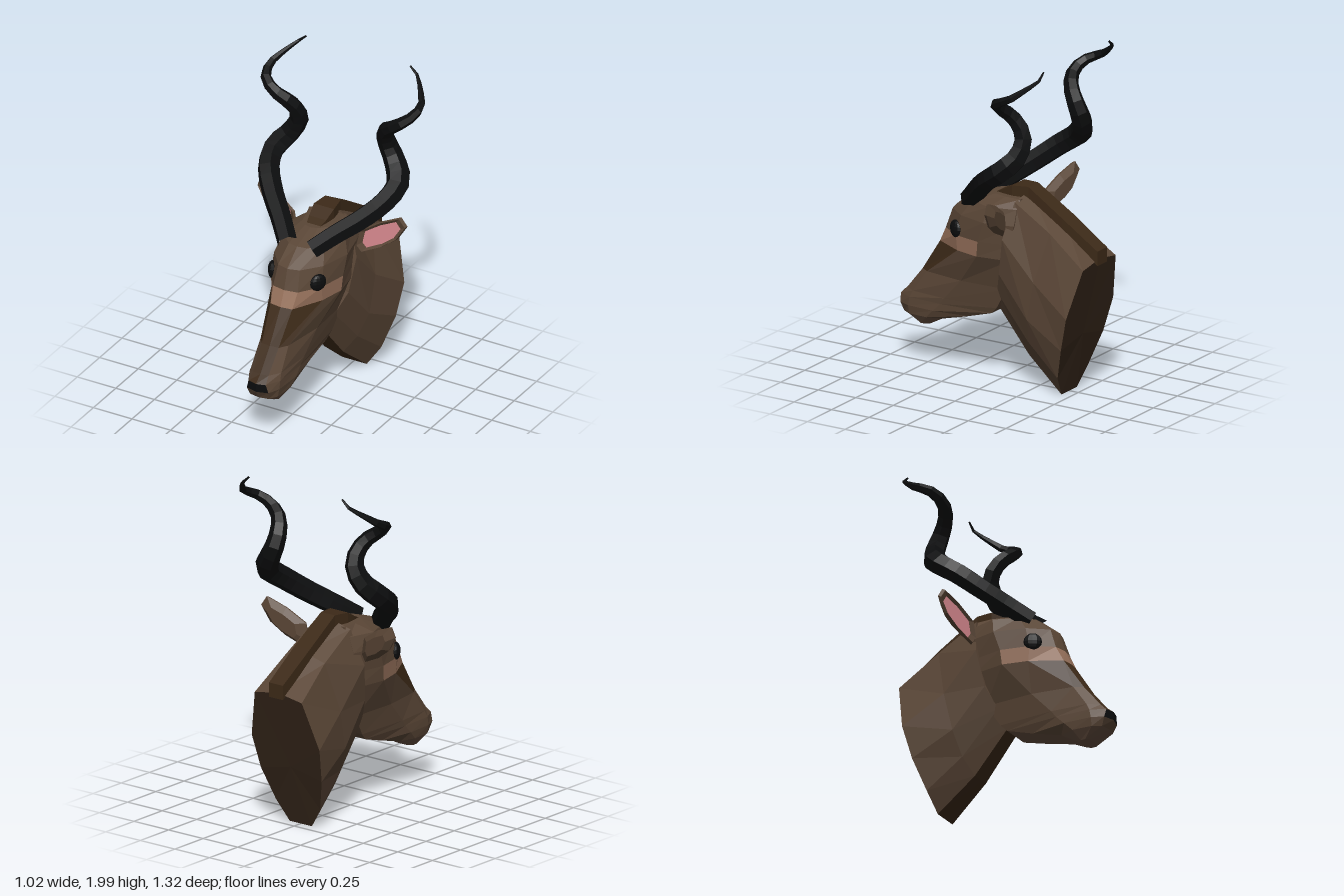
import * as THREE from 'three';

const BROWN = 0x5a4636, DARK = 0x3d2a18, PALE = 0x95705a, JAW = 0x664f40;
const BLACK = 0x0c0d0e, PINK = 0xd98a90, BACK = 0x35261a;

const mat = (color) => new THREE.MeshStandardMaterial({ color, flatShading: true, roughness: 0.9 });

function add(parent, name, geometry, color) {
  const mesh = new THREE.Mesh(geometry, mat(color));
  mesh.name = name;
  parent.add(mesh);
  return mesh;
}

// closes a half cross-section by mirroring it across x = 0
const mirrorRing = (half) => [
  ...half,
  ...half.slice().reverse().filter((p) => p[0] > 0).map(([x, y, z]) => [-x, y, z]),
];

// skins a stack of rings, one mesh per colour; colorOf(row, column, count) picks it,
// row -1 being the first cap and row rings.length - 1 the last cap
function loft(name, rings, colorOf) {
  const group = new THREE.Group();
  group.name = name;
  const byColor = new Map();
  const tri = (color, ...pts) => {
    if (!byColor.has(color)) byColor.set(color, []);
    pts.forEach((p) => byColor.get(color).push(...p));
  };
  const n = rings[0].length;
  const last = rings.length - 1;
  const centre = (ring) => [0, 1, 2].map((k) => ring.reduce((s, p) => s + p[k], 0) / n);
  const c0 = centre(rings[0]), c1 = centre(rings[last]);
  for (let i = 0; i < n; i++) {
    const j = (i + 1) % n;
    for (let r = 0; r < last; r++) {
      const color = colorOf(r, i, n);
      tri(color, rings[r][i], rings[r][j], rings[r + 1][j]);
      tri(color, rings[r][i], rings[r + 1][j], rings[r + 1][i]);
    }
    tri(colorOf(-1, i, n), c0, rings[0][j], rings[0][i]);
    tri(colorOf(last, i, n), c1, rings[last][i], rings[last][j]);
  }
  let k = 0;
  for (const [color, pos] of byColor) {
    const g = new THREE.BufferGeometry();
    g.setAttribute('position', new THREE.Float32BufferAttribute(pos, 3));
    g.computeVertexNormals();
    add(group, `${name}Panel${++k}`, g, color);
  }
  return group;
}

// head: horizontal slices, each [y, front z, then (x, z) for front corner, brow, cheek, back]
function makeHead() {
  const levels = [
    [0.255, 0.53, 0.04, 0.525, 0.06, 0.51, 0.06, 0.48, 0.04, 0.46],
    [0.31, 0.63, 0.06, 0.62, 0.09, 0.57, 0.1, 0.45, 0.07, 0.36],
    [0.36, 0.66, 0.07, 0.64, 0.1, 0.57, 0.11, 0.4, 0.08, 0.18],
    [0.41, 0.66, 0.055, 0.645, 0.1, 0.56, 0.11, 0.35, 0.09, 0.02],
    [0.45, 0.61, 0.05, 0.605, 0.095, 0.54, 0.115, 0.32, 0.1, -0.02],
    [0.58, 0.505, 0.055, 0.5, 0.09, 0.45, 0.13, 0.2, 0.12, -0.1],
    [0.77, 0.385, 0.07, 0.375, 0.165, 0.2, 0.2, 0.05, 0.17, -0.15],
    [0.86, 0.345, 0.08, 0.33, 0.165, 0.21, 0.205, 0.04, 0.17, -0.15],
    [0.98, 0.31, 0.07, 0.29, 0.16, 0.18, 0.21, 0, 0.17, -0.18],
    [1.07, 0.2, 0.06, 0.19, 0.13, 0.12, 0.185, -0.02, 0.14, -0.18],
    [1.12, 0.05, 0.04, 0.04, 0.08, 0, 0.1, -0.08, 0.1, -0.18],
  ];
  const rings = levels.map(([y, zf, ...p]) => {
    const half = [[0, y, zf]];
    for (let i = 0; i < p.length; i += 2) half.push([p[i], y, p[i + 1]]);
    return mirrorRing(half);
  });
  return loft('head', rings, (r, i, n) => {
    const col = Math.min(i, n - 1 - i); // 0 is the front, 4 the back
    if (r === 2 && col === 0) return BLACK; // nose
    if (r === 6 && col < 3) return PALE; // band below the eyes
    if (r >= 3 && r < 6 && col === 0) return DARK;
    if (r === 5 && col === 1) return DARK;
    if (r < 3 && (col === 4 || r < 1)) return JAW;
    return BROWN;
  });
}

// neck: slanted sections from the flat back to the skull, bottom to top
function makeNeck() {
  const sections = [
    [[0, 0.01, -0.44], [0.08, 0.01, -0.44], [0.16, 0.13, -0.465], [0.22, 0.32, -0.525],
      [0.245, 0.52, -0.575], [0.17, 0.8, -0.64], [0, 0.83, -0.645]],
    [[0, 0.19, -0.2], [0.06, 0.2, -0.21], [0.13, 0.3, -0.25], [0.19, 0.45, -0.28],
      [0.2, 0.68, -0.33], [0.14, 0.97, -0.4], [0, 1.01, -0.41]],
    [[0, 0.43, 0], [0.05, 0.45, 0], [0.11, 0.55, -0.03], [0.17, 0.68, -0.08],
      [0.2, 0.9, -0.12], [0.13, 1.11, -0.16], [0, 1.15, -0.18]],
  ];
  return loft('neck', sections.map(mirrorRing), (r, i, n) => {
    if (r === -1) return BACK;
    return i === 0 || i === n - 1 ? DARK : BROWN;
  });
}

// raised strip of mane along the top of the neck: [half width, top y, bottom y, z]
function makeMane() {
  const sections = [
    [0.05, 0.885, 0.8, -0.66], [0.055, 1.04, 0.95, -0.43], [0.05, 1.185, 1.06, -0.2],
    [0.065, 1.18, 1.05, -0.1], [0.055, 1.14, 1.04, -0.03], [0.03, 1.09, 1.03, 0.08],
  ].map(([w, top, low, z]) => [[-w, low, z], [w, low, z], [w, top, z], [-w, top, z]]);
  return loft('mane', sections, () => DARK);
}

// spiral horn: a six-sided tube thinned along its length
function makeHorn(side) {
  const path = [
    [0.08, 1.06, 0.17], [0.18, 1.14, 0.07], [0.29, 1.22, -0.03], [0.38, 1.31, -0.14],
    [0.4, 1.38, -0.24], [0.34, 1.46, -0.31], [0.29, 1.55, -0.32], [0.285, 1.63, -0.29],
    [0.32, 1.7, -0.245], [0.4, 1.76, -0.22], [0.47, 1.81, -0.26], [0.485, 1.85, -0.35],
    [0.43, 1.91, -0.43], [0.385, 1.95, -0.48], [0.335, 1.995, -0.485],
  ];
  const curve = new THREE.CatmullRomCurve3(path.map(([x, y, z]) => new THREE.Vector3(side * x, y, z)));
  const rows = 26, sides = 6;
  const g = new THREE.TubeGeometry(curve, rows, 1, sides, false);
  const pos = g.attributes.position, v = new THREE.Vector3();
  for (let i = 0; i < pos.count; i++) {
    const t = Math.floor(i / (sides + 1)) / rows;
    const r = t < 0.42 ? THREE.MathUtils.lerp(0.058, 0.068, t / 0.42)
      : THREE.MathUtils.lerp(0.068, 0.005, (t - 0.42) / 0.58);
    const p = curve.getPointAt(t);
    v.fromBufferAttribute(pos, i).sub(p).multiplyScalar(r).add(p);
    pos.setXYZ(i, v.x, v.y, v.z);
  }
  return g;
}

// cupped leaf-shaped ear: domed back, rim, recessed pink inside
function makeEar() {
  const rim = [[0.19, 0.97], [0.22, 0.93], [0.34, 0.985], [0.43, 1.05],
    [0.485, 1.14], [0.45, 1.195], [0.33, 1.145], [0.21, 1.07]];
  const ring = (scale, push) => rim.map(([x, y]) => {
    const px = 0.335 + (x - 0.335) * scale, py = 1.06 + (y - 1.06) * scale;
    return [px, py, -0.12 - 0.22 * (px - 0.2) - push];
  });
  return loft('ear', [ring(0.6, 0.045), ring(1, 0.015), ring(0.94, 0), ring(0.74, 0.012)],
    (r) => (r === 3 ? PINK : BROWN));
}

export function createModel() {
  const model = new THREE.Group();
  model.name = 'hornedHead';
  model.add(makeHead(), makeNeck(), makeMane());
  for (const side of [1, -1]) {
    const label = side > 0 ? 'left' : 'right';
    add(model, `${label}Horn`, makeHorn(side), BLACK);

    const ear = makeEar();
    ear.name = `${label}Ear`;
    ear.scale.x = side;
    model.add(ear);

    const eye = add(model, `${label}Eye`, new THREE.SphereGeometry(0.052, 12, 8), BLACK);
    eye.scale.x = 0.5;
    eye.position.set(side * 0.148, 0.89, 0.22);
    eye.rotation.y = -side * 0.5;
  }
  return model;
}
